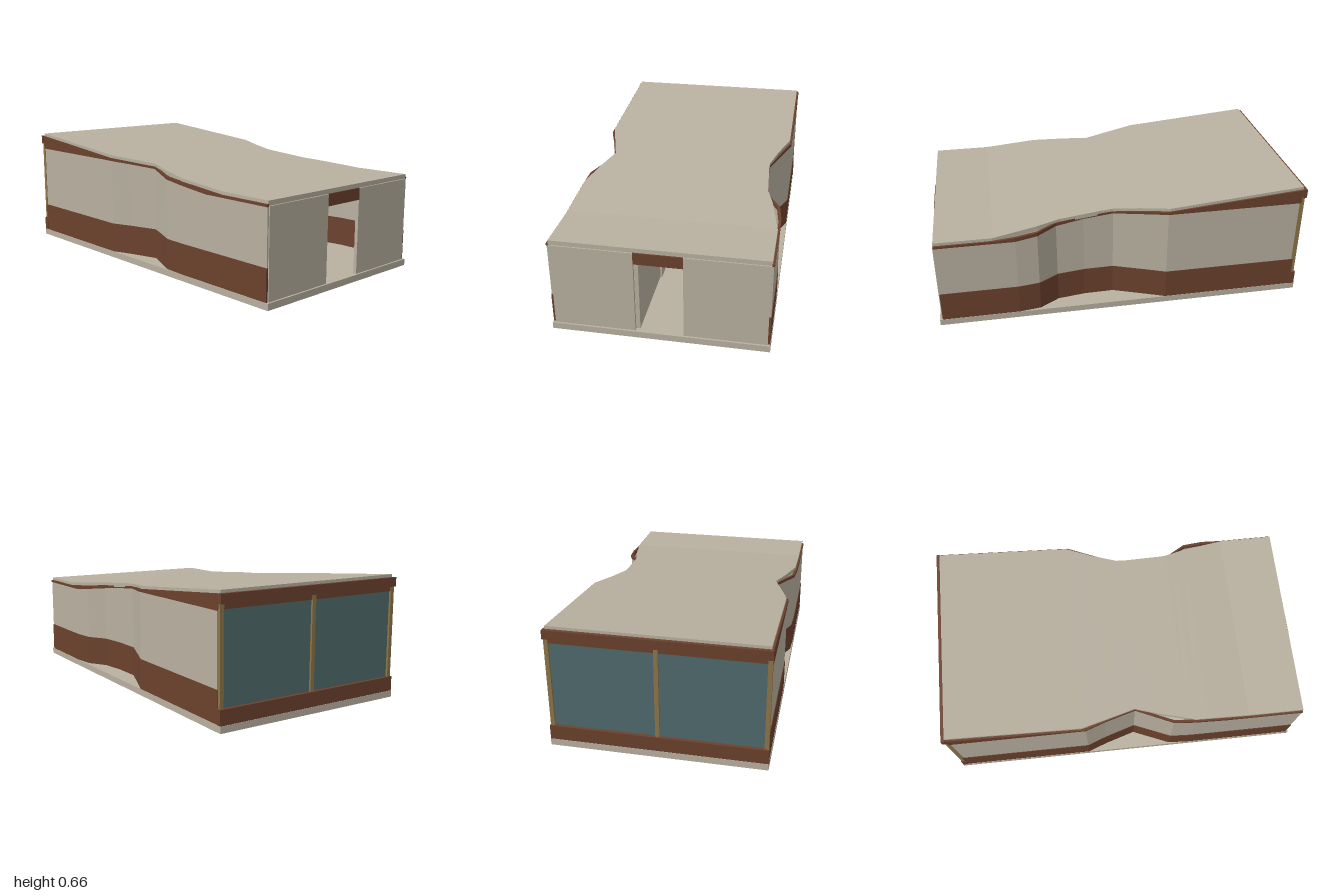
import * as THREE from 'three';

const mat = (name, color, side = THREE.FrontSide) => {
  const m = new THREE.MeshStandardMaterial({ color, side });
  m.name = name;
  return m;
};

// Linear interpolation through [z, value] pairs sorted by descending z
const along = (pts, z) => {
  if (z >= pts[0][0]) return pts[0][1];
  for (let i = 1; i < pts.length; i++) {
    const [za, a] = pts[i - 1], [zb, b] = pts[i];
    if (z >= zb) return a + (b - a) * (za - z) / (za - zb);
  }
  return pts[pts.length - 1][1];
};

// Closed, flat-faced solid through rectangular sections {z, x0, x1, y0, y1}, front to back
function loft(sections) {
  const pos = [];
  const quad = (a, b, c, d) => pos.push(...a, ...b, ...c, ...a, ...c, ...d);
  const rings = sections.map(({ z, x0, x1, y0, y1 }) =>
    [[x0, y0, z], [x1, y0, z], [x1, y1, z], [x0, y1, z]]);
  quad(...rings[0]);
  for (let i = 1; i < rings.length; i++) {
    const f = rings[i - 1], b = rings[i];
    for (let k = 0; k < 4; k++) {
      const n = (k + 1) % 4;
      quad(f[k], b[k], b[n], f[n]);
    }
  }
  quad(...rings[rings.length - 1].slice().reverse());
  const g = new THREE.BufferGeometry();
  g.setAttribute('position', new THREE.Float32BufferAttribute(pos, 3));
  g.computeVertexNormals();
  return g;
}

export function createModel() {
  const group = new THREE.Group();
  group.name = 'pavilion';
  const cream = mat('cream plaster', 0xb8b0a0);
  const brown = mat('brown cladding', 0x6b412d);
  const glass = mat('blue grey glass', 0x506a6c);
  const ochre = mat('ochre timber', 0x8d7549);

  const add = (name, geometry, material) => {
    const m = new THREE.Mesh(geometry, material);
    m.name = name;
    group.add(m);
    return m;
  };
  const box = (name, material, x0, x1, y0, y1, z0, z1) =>
    add(name, new THREE.BoxGeometry(x1 - x0, y1 - y0, z1 - z0), material)
      .position.set((x0 + x1) / 2, (y0 + y1) / 2, (z0 + z1) / 2);

  // Height lines
  const roofTop = z => along([[0.68, 0.515], [-0.98, 0.66]], z);
  const roofUnder = z => roofTop(z) - 0.016;
  const plasterTop = z => along(
    [[0.57, 0.486], [0.455, 0.498], [0.2, 0.526], [0.04, 0.542], [-0.12, 0.555], [-0.24, 0.565]], z);

  box('base', cream, -0.556, 0.556, 0, 0.035, -1, 1);

  // Roof slab, pinched at the waist and rising toward the back
  const roofRight = [[0.69, 0.545], [0.45, 0.5], [0.33, 0.465], [0.1, 0.45], [0.04, 0.45], [-0.1, 0.49], [-0.25, 0.545]];
  const roofLeft = [[0.38, -0.545], [0.19, -0.5], [0.05, -0.458], [-0.11, -0.505], [-0.25, -0.545]];
  const roofZ = [0.985, 0.69, 0.68, 0.45, 0.38, 0.33, 0.19, 0.1, 0.05, 0.04, -0.1, -0.11, -0.25, -0.98];
  add('roof', loft(roofZ.map(z => ({
    z, x0: along(roofLeft, z), x1: along(roofRight, z), y0: roofTop(z) - 0.024, y1: roofTop(z),
  }))), cream);

  // Side walls: plaster between two slightly proud brown bands
  const walls = {
    left: [[0.57, 0.551], [0.455, 0.535], [0.35, 0.47], [0.2, 0.449], [0.04, 0.446], [-0.12, 0.505], [-0.24, 0.551]],
    right: [[0.38, -0.551], [0.26, -0.545], [0.14, -0.495], [0.05, -0.458], [-0.12, -0.51], [-0.23, -0.551]],
  };
  for (const [side, line] of Object.entries(walls)) {
    const s = side === 'left' ? 1 : -1;
    const stations = [...new Set([0.985, 0.68, 0.57, 0.455, 0.2, 0.04, -0.12, -0.24, -0.975, ...line.map(p => p[0])])]
      .sort((a, b) => b - a);
    const band = (name, material, proud, low, high) => add(side + name, loft(stations.map(z => {
      const outer = along(line, z) + s * proud, inner = along(line, z) - s * 0.01;
      return { z, x0: Math.min(inner, outer), x1: Math.max(inner, outer), y0: low(z), y1: high(z) };
    })), material);
    band('WallBase', brown, 0.003, () => 0.035, () => 0.2);
    band('WallPlaster', cream, 0, () => 0.2, plasterTop);
    band('WallTop', brown, 0.004, plasterTop, roofUnder);
  }

  // Front wall with its doorway
  for (const s of [-1, 1]) {
    const [a, b] = s < 0 ? [-0.542, -0.123] : [0.123, 0.542];
    box('frontPanel', cream, a, b, 0.035, 0.49, 0.972, 0.99);
  }
  box('doorLintel', brown, -0.123, 0.123, 0.43, 0.492, 0.972, 0.992);

  // Interior seen through the doorway
  box('entryPartition', cream, -0.123, -0.102, 0.035, 0.43, 0.5, 0.97);
  box('innerPartition', cream, -0.102, -0.092, 0.035, 0.39, 0.3, 0.5);
  box('cabinet', cream, -0.3, -0.012, 0.035, 0.285, -0.2, 0.1);
  box('cabinetTop', brown, -0.302, -0.011, 0.285, 0.292, -0.2, 0.1);
  box('bench', brown, 0.1, 0.3, 0.035, 0.12, -0.6, -0.3);

  // Glazed back wall
  box('backGlass', glass, -0.545, 0.545, 0.1, 0.6, -0.979, -0.972);
  box('backSill', brown, -0.556, 0.556, 0.035, 0.112, -0.998, -0.968);
  box('backHeader', brown, -0.545, 0.545, 0.572, 0.642, -0.986, -0.968);
  box('backBeam', brown, -0.556, 0.556, 0.597, 0.645, -1, -0.978);
  for (const x of [-0.542, -0.002, 0.542])
    box('backPost', ochre, x - 0.011, x + 0.011, 0.11, 0.6, -0.99, -0.966);

  return group;
}
